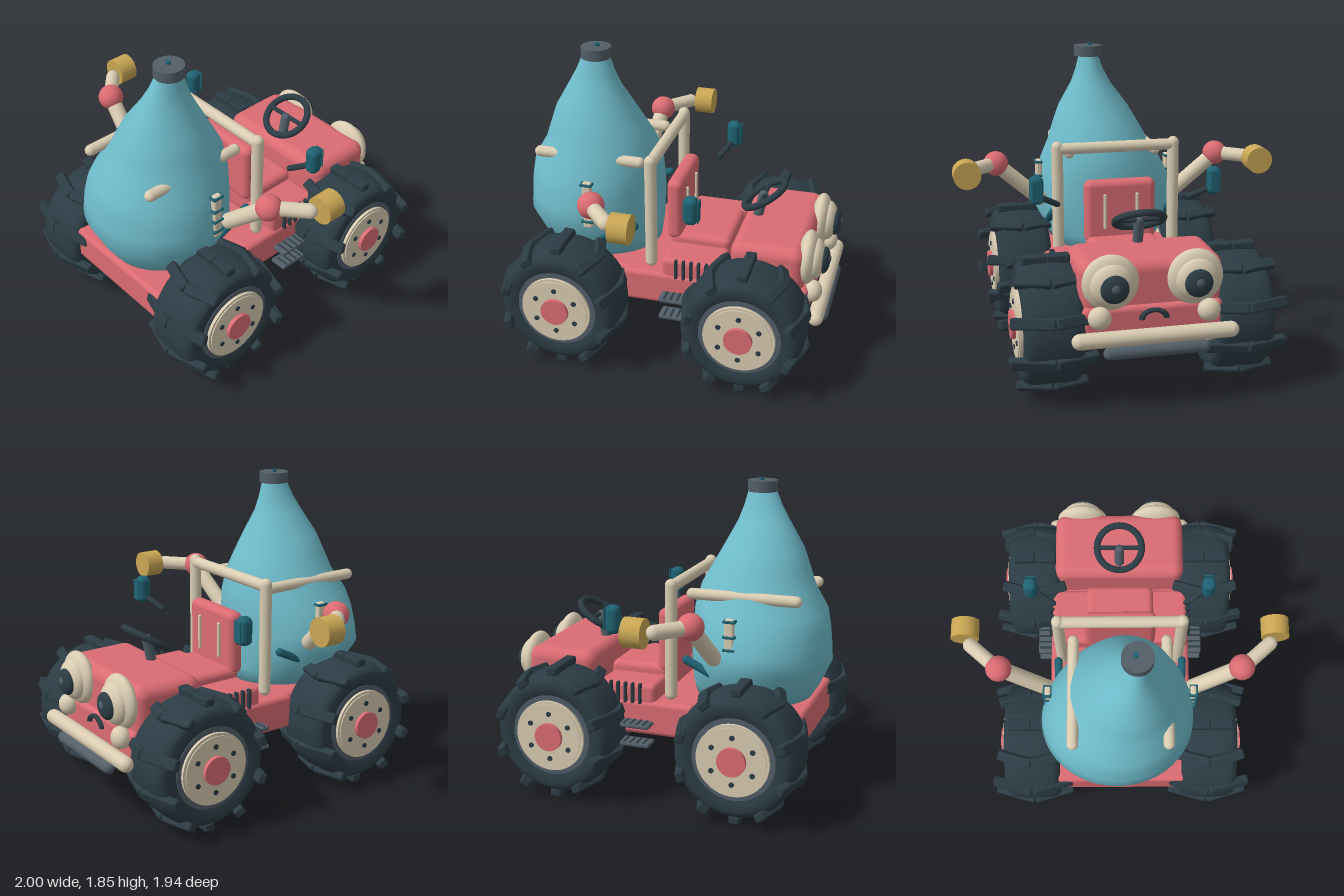
import * as THREE from 'three';
import { mergeVertices } from 'three/addons/utils/BufferGeometryUtils.js';
import { RoundedBoxGeometry } from 'three/addons/geometries/RoundedBoxGeometry.js';

const mat = (name, color) => Object.assign(new THREE.MeshStandardMaterial({ color }), { name });
const M = {
  tank: mat('sky blue', 0x6fbccb), red: mat('coral red', 0xdb6c73), cream: mat('cream', 0xd9ccb2),
  dark: mat('dark slate', 0x2c3c44), grey: mat('grey', 0x525e68), gold: mat('gold', 0xc9a654),
  teal: mat('teal', 0x1f6272),
};
const V = (x, y, z) => new THREE.Vector3(x, y, z);

function add(parent, name, geo, material, x = 0, y = 0, z = 0) {
  const m = new THREE.Mesh(geo, material);
  m.name = name;
  m.position.set(x, y, z);
  parent.add(m);
  return m;
}
// Rounded block given by its centre and size
const block = (p, name, material, x, y, z, w, h, d, r = 0.03) =>
  add(p, name, new RoundedBoxGeometry(w, h, d, 4, r), material, x, y, z);
// Round-ended rod between two points
function rod(p, name, material, a, b, r) {
  const dir = b.clone().sub(a), mid = a.clone().add(b).multiplyScalar(0.5);
  const m = add(p, name, new THREE.CapsuleGeometry(r, Math.max(dir.length() - r, 0.01), 5, 18), material, mid.x, mid.y, mid.z);
  m.quaternion.setFromUnitVectors(V(0, 1, 0), dir.normalize());
  return m;
}
function ball(p, name, material, x, y, z, r, flat = 1) {
  const m = add(p, name, new THREE.SphereGeometry(r, 28, 18), material, x, y, z);
  m.scale.z = flat;
  return m;
}
const discX = (p, name, material, r, width) =>
  add(p, name, new THREE.CylinderGeometry(r, r, width, 40).rotateZ(Math.PI / 2), material);

function makeWheel() {
  const g = new THREE.Group();
  g.name = 'wheel';
  const side = [[0.235, 0.155], [0.27, 0.17], [0.31, 0.17], [0.335, 0.16], [0.355, 0.13], [0.363, 0.06]];
  const pts = [
    ...side.map(([r, x]) => new THREE.Vector2(r, -x)),
    ...side.slice().reverse().map(([r, x]) => new THREE.Vector2(r, x)),
  ];
  add(g, 'tyre', new THREE.LatheGeometry(pts, 48).rotateZ(-Math.PI / 2), M.dark);
  discX(g, 'rimRing', M.grey, 0.242, 0.325);
  discX(g, 'rimDisc', M.cream, 0.212, 0.36);
  discX(g, 'rimFace', M.cream, 0.195, 0.372);
  discX(g, 'hub', M.red, 0.083, 0.42);
  for (let i = 0; i < 6; i++) {
    const a = Math.PI / 2 + i * Math.PI / 3;
    discX(g, 'bolt', M.dark, 0.015, 0.385).position.set(0, 0.137 * Math.sin(a), 0.137 * Math.cos(a));
  }
  // Paired tread lugs, longest on the front and back of the tyre
  for (let i = 0; i < 10; i++) {
    const a = -Math.PI / 2 + i * Math.PI / 5, c = Math.cos(a), s = Math.sin(a);
    const len = 0.137 + 0.115 * Math.min(1, Math.abs(c) * 1.06);
    for (const k of [-1, 1]) {
      const yaw = new THREE.Group();
      yaw.position.set(0, s * 0.377, c * 0.372);
      yaw.rotation.y = k * 0.28 * Math.sign(Math.abs(c) < 0.01 ? 0 : c);
      const lug = add(yaw, 'treadLug', new RoundedBoxGeometry(len, 0.05, 0.065, 2, 0.012), M.dark, k * len / 2);
      lug.rotation.x = Math.PI / 2 - a;
      g.add(yaw);
    }
  }
  return g;
}

// Leaning pear-shaped tank; each section is y, centre x, half width, centre z, half depth
function makeTank() {
  const sections = [
    [0.56, 0, 0.001, 0.5, 0.001], [0.56, 0, 0.31, 0.5, 0.345], [0.66, -0.01, 0.385, 0.525, 0.382],
    [0.80, -0.02, 0.46, 0.555, 0.415], [0.9, -0.015, 0.45, 0.55, 0.412], [1.0, -0.005, 0.43, 0.545, 0.405],
    [1.1, 0.01, 0.39, 0.535, 0.395], [1.23, 0.03, 0.322, 0.51, 0.34], [1.34, 0.043, 0.275, 0.52, 0.29],
    [1.45, 0.055, 0.222, 0.53, 0.24], [1.6, 0.07, 0.124, 0.525, 0.157], [1.69, 0.08, 0.085, 0.515, 0.115],
    [1.79, 0.088, 0.055, 0.505, 0.08],
  ];
  let geo = new THREE.LatheGeometry(sections.map((_, i) => new THREE.Vector2(1, i)), 48);
  const p = geo.attributes.position;
  for (let i = 0; i < p.count; i++) {
    const [y, cx, rx, cz, rz] = sections[Math.round(p.getY(i))];
    p.setXYZ(i, cx + rx * p.getX(i), y, cz + rz * p.getZ(i));
  }
  geo.deleteAttribute('uv');
  geo.deleteAttribute('normal');
  geo = mergeVertices(geo);
  geo.computeVertexNormals();
  return geo;
}

export function createModel() {
  const model = new THREE.Group();
  model.name = 'tankBuggy';

  // Body
  block(model, 'chassis', M.red, 0, 0.467, 0.02, 0.8, 0.215, 1.74, 0.03);
  block(model, 'middleBody', M.red, 0, 0.47, -0.05, 0.88, 0.21, 0.62, 0.03);
  block(model, 'seatBase', M.red, 0, 0.61, -0.16, 0.86, 0.13, 0.36, 0.03);
  block(model, 'seatCushion', M.red, 0, 0.65, -0.16, 0.43, 0.17, 0.37, 0.04);
  block(model, 'seatBack', M.red, 0, 0.885, 0.003, 0.44, 0.39, 0.095, 0.04);
  block(model, 'hood', M.red, 0, 0.66, -0.6, 0.82, 0.33, 0.44, 0.07);

  // Tank with its cap and cross rods
  add(model, 'tank', makeTank(), M.tank);
  add(model, 'tankCap', new THREE.CylinderGeometry(0.088, 0.088, 0.065, 32), M.grey, 0.09, 1.803, 0.505);
  add(model, 'capNub', new THREE.CylinderGeometry(0.015, 0.015, 0.02, 12), M.teal, 0.08, 1.84, 0.5);

  // Roll bar
  rod(model, 'rollBarTop', M.cream, V(-0.375, 1.26, 0.1), V(0.375, 1.26, 0.1), 0.035);

  for (const s of [-1, 1]) {
    for (const z of [0.588, -0.52]) {
      const wheel = makeWheel();
      wheel.position.set(s * 0.546, 0.4, z);
      model.add(wheel);
    }
    rod(model, 'rollBarPost', M.cream, V(s * 0.365, 0.6, 0.1), V(s * 0.365, 1.29, 0.1), 0.036);
    rod(model, 'tankRod', M.cream, V(s * 0.273, 1.21, 0.18), V(s * 0.273, 1.21, 0.83), 0.033);
    block(model, 'seatStripe', M.cream, s * 0.1, 0.89, -0.05, 0.02, 0.22, 0.02, 0.008);

    // Arm with a lamp
    rod(model, 'upperArm', M.cream, V(s * 0.42, 0.87, 0.385), V(s * 0.7, 1.12, 0.34), 0.048);
    ball(model, 'elbow', M.red, s * 0.713, 1.135, 0.34, 0.077);
    rod(model, 'forearm', M.cream, V(s * 0.73, 1.135, 0.33), V(s * 0.9, 1.135, 0.18), 0.043);
    add(model, 'lamp', new THREE.CylinderGeometry(0.083, 0.083, 0.115, 32).rotateX(Math.PI / 2), M.gold, s * 0.917, 1.135, 0.098);

    // Gauge on the tank side
    block(model, 'gauge', M.cream, s * 0.425, 0.97, 0.47, 0.04, 0.3, 0.058, 0.015);
    for (const y of [0.865, 0.94, 1.015, 1.105])
      block(model, 'gaugeRung', M.teal, s * 0.428, y, 0.472, 0.05, 0.016, 0.075, 0.006);

    // Feed pipe beside the tank
    const feed = new THREE.CatmullRomCurve3([V(s * 0.31, 0.58, 0.6), V(s * 0.365, 0.71, 0.45), V(s * 0.38, 0.84, 0.2)]);
    add(model, 'feedPipe', new THREE.TubeGeometry(feed, 20, 0.024, 12), M.teal);
    ball(model, 'feedPipeEnd', M.teal, s * 0.38, 0.84, 0.2, 0.025);

    // Mirror
    block(model, 'mirror', M.teal, s * 0.54, 1.088, -0.187, 0.082, 0.17, 0.085, 0.035);
    block(model, 'mirrorGlass', M.teal, s * 0.54, 1.09, -0.235, 0.06, 0.13, 0.008, 0.003);
    rod(model, 'mirrorStalk', M.dark, V(s * 0.4, 0.975, -0.125), V(s * 0.515, 1.04, -0.18), 0.018);

    // Side louvres and steps
    for (let i = 0; i < 5; i++)
      block(model, 'louvre', M.dark, s * 0.435, 0.62, -0.07 - i * 0.046, 0.03, 0.125, 0.018, 0.006);
    for (const y of [0.33, 0.445]) {
      block(model, 'step', M.grey, s * 0.475, y, -0.08, 0.11, 0.026, 0.19, 0.01);
      for (let i = 0; i < 4; i++)
        block(model, 'stepGrip', M.dark, s * 0.482, y + 0.012, -0.14 + i * 0.04, 0.085, 0.01, 0.012, 0.003);
    }

    // Eye and cheek
    ball(model, 'eyeRim', M.cream, s * 0.24, 0.715, -0.825, 0.16, 0.4);
    ball(model, 'eyeBall', M.cream, s * 0.24, 0.71, -0.865, 0.122, 0.5);
    ball(model, 'pupil', M.dark, s * 0.235, 0.705, -0.915, 0.08, 0.45);
    ball(model, 'pupilGlint', M.grey, s * 0.235, 0.715, -0.946, 0.025, 0.4);
    ball(model, 'cheek', M.cream, s * 0.31, 0.53, -0.87, 0.065, 0.85);
  }

  // Steering wheel
  rod(model, 'steeringColumn', M.grey, V(0, 0.8, -0.465), V(0, 0.97, -0.5), 0.03);
  const rim = add(model, 'steeringWheel', new THREE.TorusGeometry(0.14, 0.021, 12, 40), M.dark, 0, 0.963, -0.505);
  rim.rotation.x = -1.01;
  rod(model, 'steeringSpoke', M.dark, V(-0.13, 0.963, -0.505), V(0.13, 0.963, -0.505), 0.014);

  // Mouth and bumpers
  const mouth = add(model, 'mouth', new THREE.TorusGeometry(0.07, 0.018, 10, 24, Math.PI), M.dark, 0, 0.5, -0.855);
  mouth.scale.y = 0.7;
  rod(model, 'bumper', M.cream, V(-0.45, 0.42, -0.91), V(0.45, 0.42, -0.91), 0.045);
  rod(model, 'lowerBumper', M.grey, V(-0.285, 0.345, -0.93), V(0.285, 0.345, -0.93), 0.036);
  return model;
}
